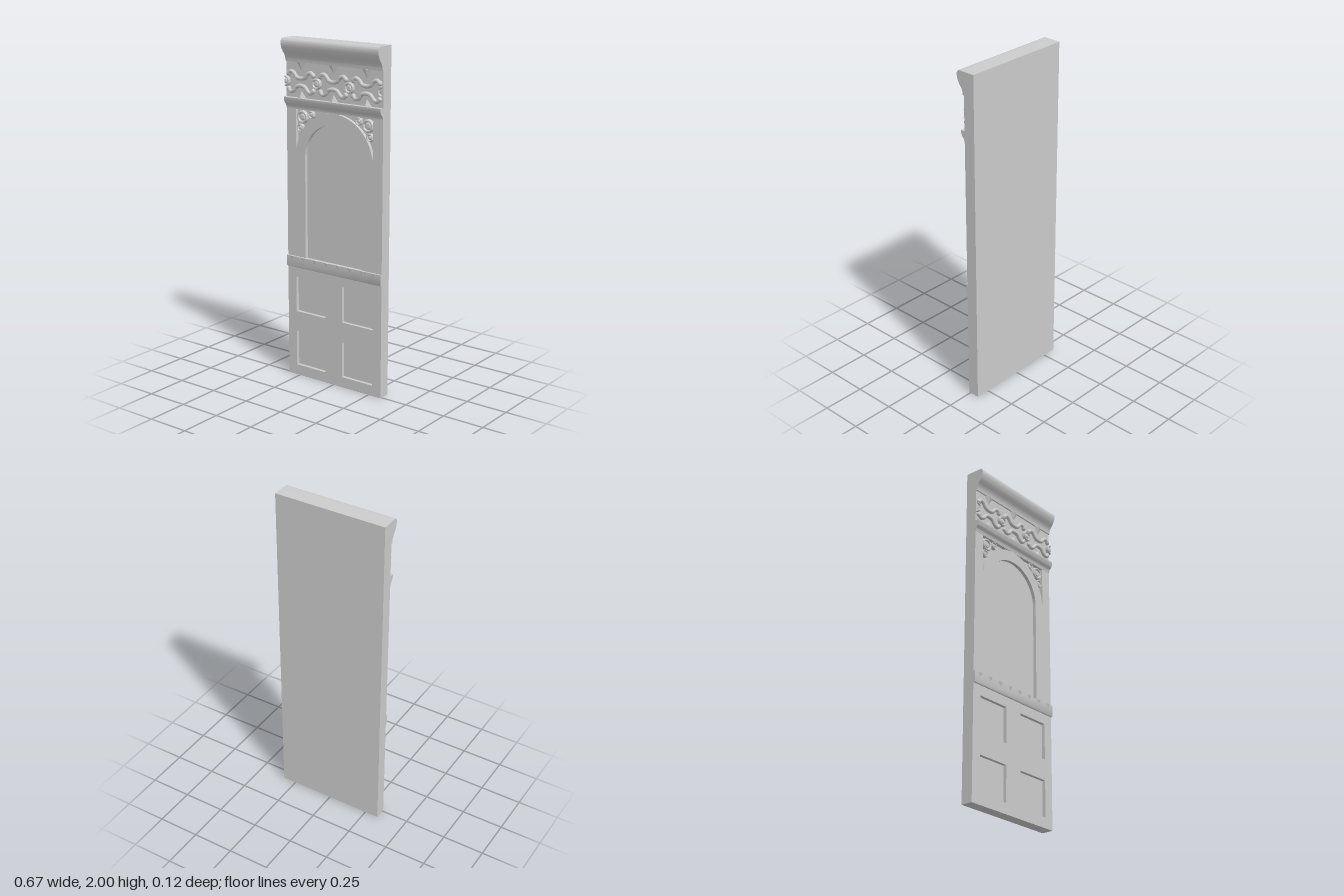
import * as THREE from 'three';
import { toCreasedNormals } from 'three/addons/utils/BufferGeometryUtils.js';

const W = 0.333, FACE = 0.01, FLOOR = -0.01, BACK = -0.06;
const grey = new THREE.MeshStandardMaterial({ color: 0xcccccc });
const greyFlat = new THREE.MeshStandardMaterial({ color: 0xcccccc, flatShading: true });

function add(parent, name, geometry, x = 0, y = 0, z = 0, material = grey) {
  const mesh = new THREE.Mesh(geometry, material);
  mesh.name = name;
  mesh.position.set(x, y, z);
  parent.add(mesh);
  return mesh;
}

const v2 = (list) => list.map(([x, y]) => new THREE.Vector2(x, y));

// Horizontal moulding: (z, y) profile swept over the full width
function moulding(shape) {
  const g = new THREE.ExtrudeGeometry(shape, { depth: 2 * W, bevelEnabled: false, curveSegments: 16 });
  g.translate(0, 0, -W);
  g.rotateY(-Math.PI / 2);
  return toCreasedNormals(g, 0.6);
}

// Round boss with a raised rim, facing +z; half of it when cut by the edge
function rosette(r, h, start = 0, length = Math.PI * 2) {
  const profile = v2([[r, 0], [r, 0.7 * h], [0.9 * r, h], [0.72 * r, h], [0.6 * r, 0.55 * h],
    [0.48 * r, 0.55 * h], [0.42 * r, 0.85 * h], [0.25 * r, h], [0, 1.05 * h]]);
  const g = new THREE.LatheGeometry(profile, length > 4 ? 32 : 16, start, length);
  g.rotateX(Math.PI / 2);
  return toCreasedNormals(g, 0.7);
}

// Faceted point, four-sided and flattened against the wall
function point(halfWidth, height, depth, down) {
  const g = new THREE.ConeGeometry(halfWidth, height, 4);
  if (down) g.rotateZ(Math.PI);
  g.scale(1, 1, depth / halfWidth);
  return g;
}

// Front layer pierced by the square panels, the arch and the spandrels
function pierced() {
  const s = new THREE.Shape(v2([[-W, 0], [W, 0], [W, 2], [-W, 2]]));
  for (const side of [-1, 1]) {
    for (const y of [0.062, 0.397]) {
      const a = 0.06 * side, b = 0.273 * side;
      s.holes.push(new THREE.Path(v2([[a, y], [b, y], [b, y + 0.213], [a, y + 0.213]])));
    }
    const sp = [[0.268 * side, 1.6]];
    for (let i = 0; i <= 20; i++) {
      const t = (i / 20) * 1.42;
      sp.push([0.266 * Math.cos(t) * side, 1.34 + 0.26 * Math.sin(t)]);
    }
    sp.push([0.03 * side, 1.6]);
    s.holes.push(new THREE.Path(v2(sp)));
  }
  const arch = new THREE.Path();
  arch.moveTo(-0.203, 0.73);
  arch.lineTo(0.203, 0.73);
  arch.lineTo(0.203, 1.332);
  arch.absarc(0, 1.332, 0.203, 0, Math.PI, false);
  arch.lineTo(-0.203, 0.73);
  s.holes.push(arch);
  const g = new THREE.ExtrudeGeometry(s, { depth: FACE - FLOOR, bevelEnabled: false, curveSegments: 32 });
  return toCreasedNormals(g, 0.5);
}

// Wavy scroll with curled ends; dir = 1 turns the ends up, -1 down
function scroll(dir) {
  const half = [[0, 0.02], [0.028, 0.026], [0.05, 0.05], [0.072, 0.057], [0.088, 0.042]];
  const pts = [...half.slice(1).reverse().map(([x, y]) => [-x, y]), ...half]
    .map(([x, y]) => new THREE.Vector3(x, y * dir, 0));
  const g = new THREE.TubeGeometry(new THREE.CatmullRomCurve3(pts), 40, 0.0115, 10);
  return g;
}

export function createModel() {
  const model = new THREE.Group();
  model.name = 'wallPanel';

  // Slab
  add(model, 'backSlab', new THREE.BoxGeometry(2 * W, 2, FLOOR - BACK), 0, 1, (FLOOR + BACK) / 2);
  add(model, 'frontFrame', pierced(), 0, 0, FLOOR);

  // Crown
  const crown = new THREE.Shape();
  crown.moveTo(0, 2);
  crown.lineTo(0, 1.868);
  crown.lineTo(0.018, 1.868);
  crown.lineTo(0.02, 1.885);
  crown.bezierCurveTo(0.027, 1.918, 0.05, 1.92, 0.059, 1.965);
  crown.bezierCurveTo(0.062, 1.985, 0.055, 2, 0.04, 2);
  crown.lineTo(0, 2);
  add(model, 'crownMoulding', moulding(crown));

  // Moulding below the frieze
  const lower = new THREE.Shape();
  lower.moveTo(0, 1.668);
  lower.lineTo(0, 1.603);
  lower.lineTo(0.012, 1.603);
  lower.bezierCurveTo(0.014, 1.63, 0.027, 1.625, 0.031, 1.642);
  lower.lineTo(0.036, 1.65);
  lower.lineTo(0.036, 1.668);
  lower.lineTo(0, 1.668);
  add(model, 'friezeMoulding', moulding(lower));

  // Frieze ornament
  const frieze = new THREE.Group();
  frieze.name = 'frieze';
  model.add(frieze);
  const mid = 1.757;
  for (const x of [-0.225, 0, 0.225]) {
    for (const dir of [-1, 1]) {
      add(frieze, 'scroll', scroll(dir), x, mid, 0.016);
      for (const end of [-1, 1]) {
        const knob = add(frieze, 'scrollKnob', new THREE.SphereGeometry(0.0145, 14, 10), x + 0.087 * end, mid + 0.043 * dir, 0.014);
        knob.scale.z = 0.9;
      }
    }
    add(frieze, 'upperPoint', point(0.034, 0.05, 0.017, true), x, 1.845, FACE, greyFlat);
    add(frieze, 'lowerPoint', point(0.034, 0.04, 0.017, false), x, 1.687, FACE, greyFlat);
  }
  for (const x of [-0.1125, 0.1125]) add(frieze, 'rosette', rosette(0.031, 0.018), x, mid, FACE);
  add(frieze, 'halfRosette', rosette(0.031, 0.018, 0, Math.PI), -W, mid, FACE);
  add(frieze, 'halfRosette', rosette(0.031, 0.018, Math.PI, Math.PI), W, mid, FACE);

  // Spandrel bosses
  for (const side of [-1, 1]) {
    for (const [x, y, r] of [[0.227, 1.558, 0.037], [0.164, 1.577, 0.022], [0.241, 1.495, 0.023]]) {
      add(model, 'spandrelBoss', rosette(r, 0.019), x * side, y, FLOOR);
    }
  }

  // Dado rail with a row of points
  const rail = new THREE.Shape(v2([[0, 0.735], [0, 0.669], [0.017, 0.669], [0.021, 0.676], [0.021, 0.735]]));
  add(model, 'dadoRail', moulding(rail));
  const count = 8, step = (2 * W) / count;
  for (let i = 0; i < count; i++) {
    add(model, 'railPoint', point(step / 2, 0.058, 0.016, true), -W + (i + 0.5) * step, 0.706, 0.012, greyFlat);
  }
  return model;
}
